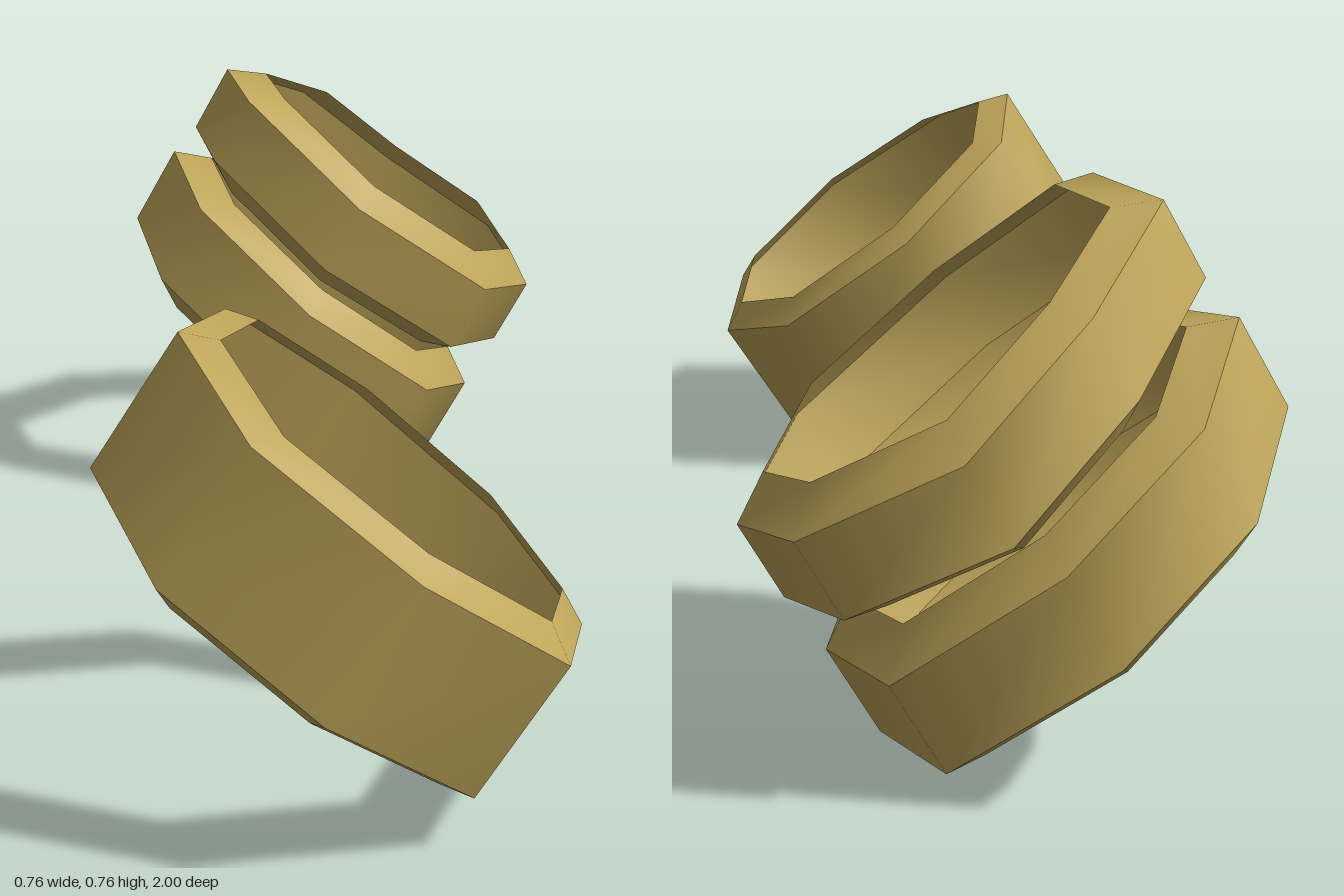
import * as THREE from 'three';

const gold = new THREE.MeshStandardMaterial({ color: 0xbfa65a, side: THREE.DoubleSide });

// Closed band of quads between two loops of points
function strip(name, a, b) {
  const n = a.length, index = [];
  for (let i = 0; i < n; i++) {
    const j = (i + 1) % n;
    index.push(i, j, n + j, i, n + j, n + i);
  }
  const geo = new THREE.BufferGeometry().setFromPoints([...a, ...b]);
  geo.setIndex(index);
  geo.computeVertexNormals();
  const mesh = new THREE.Mesh(geo, gold);
  mesh.name = name;
  return mesh;
}

// Eight-sided ring: outer wall plus a slightly raised rim at each end, open inside
function ring(name, upperPoints, width, innerScale, bulge) {
  const span = new THREE.Vector3(...width);
  const lift = span.clone().setLength(bulge);
  const upper = upperPoints.map(p => new THREE.Vector3(...p));
  const lower = upper.map(p => p.clone().sub(span));
  const inner = (loop, sign) => {
    const c = new THREE.Vector3();
    loop.forEach(p => c.addScaledVector(p, 1 / loop.length));
    return loop.map(p => c.clone().lerp(p, innerScale).addScaledVector(lift, sign));
  };
  const group = new THREE.Group();
  group.name = name;
  group.add(
    strip('lowerRim', inner(lower, -1), lower),
    strip('outerWall', lower, upper),
    strip('upperRim', upper, inner(upper, 1))
  );
  return group;
}

export function createModel() {
  const model = new THREE.Group();
  model.name = 'tiltedRings';

  // Single wide ring at the front
  model.add(ring('wideRing', [
    [-0.255, 0.67, 0.69], [-0.16, 0.59, 0.915], [0.05, 0.435, 1.0], [0.25, 0.275, 0.90],
    [0.30, 0.225, 0.665], [0.205, 0.297, 0.425], [-0.005, 0.465, 0.34], [-0.195, 0.625, 0.437],
  ], [0.122, 0.19, 0], 0.845, 0.025));

  // Pair of narrow rings at the back
  model.add(ring('upperNarrowRing', [
    [-0.20, 0.762, -0.68], [-0.16, 0.75, -0.436], [0.035, 0.575, -0.325], [0.27, 0.40, -0.412],
    [0.38, 0.333, -0.675], [0.325, 0.393, -0.906], [0.125, 0.515, -1.0], [-0.05, 0.67, -0.917],
  ], [0.062, 0.11, 0], 0.81, 0.037));

  model.add(ring('lowerNarrowRing', [
    [-0.305, 0.60, -0.70], [-0.25, 0.55, -0.44], [-0.055, 0.38, -0.325], [0.165, 0.205, -0.414],
    [0.26, 0.135, -0.66], [0.205, 0.185, -0.90], [-0.005, 0.36, -0.995], [-0.195, 0.52, -0.925],
  ], [0.075, 0.131, 0], 0.81, 0.037));

  return model;
}
